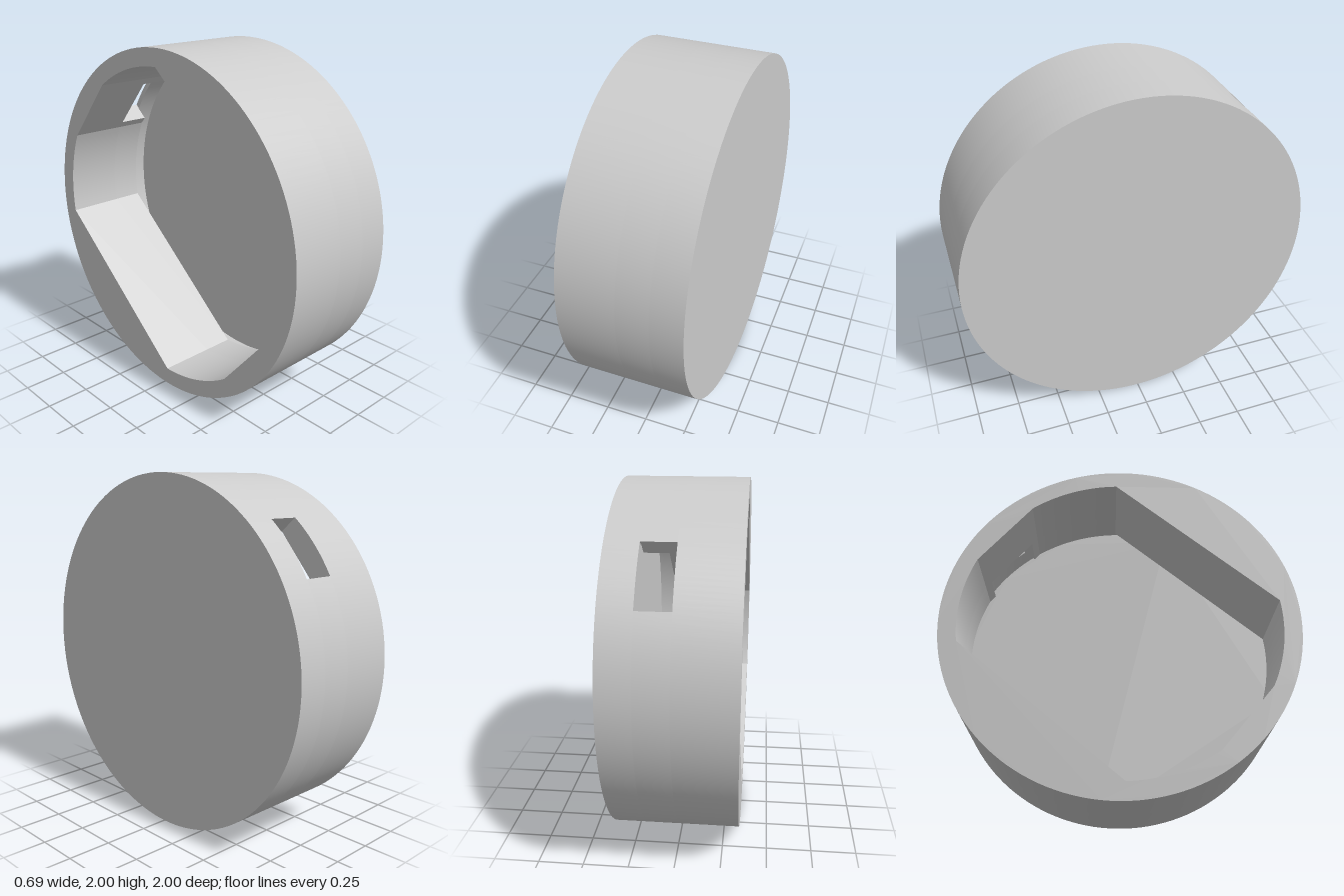
import * as THREE from 'three';
import { toCreasedNormals, mergeGeometries } from 'three/addons/utils/BufferGeometryUtils.js';

// Profile plane (p, q): the side slot opens along +p. The third axis is the cap's own axis.
const R = 1, POCKET_R = 0.9, GROOVE_R = 0.97; // outer wall, pocket arcs, undercut chamber
const FLAT_P = 0.87, FLAT_Q = 0.673;          // distances of the pocket's flats
const SLOT = 0.181;                           // half width of the slot
const X = { open: -0.343, slotStart: -0.017, pocketEnd: 0.162, slotEnd: 0.165, floor: 0.283, back: 0.343 };

const arc = (r, a, b, n) => Array.from({ length: n + 1 }, (_, i) => {
  const t = a + (b - a) * i / n;
  return new THREE.Vector2(r * Math.cos(t), r * Math.sin(t));
});
const slotAngle = r => Math.asin(SLOT / r);
const overSlot = r => arc(r, -slotAngle(r), slotAngle(r), 12);
const aroundSlot = r => arc(r, slotAngle(r), 2 * Math.PI - slotAngle(r), 128);
const fullCircle = r => [...aroundSlot(r), ...overSlot(r).slice(1, -1)];
const reversed = pts => [...pts].reverse();

// Pocket outline: four arcs joined by flats, starting and ending at the slot
function pocketOutline() {
  const b = Math.acos(FLAT_P / POCKET_R), c = Math.asin(FLAT_Q / POCKET_R), h = Math.PI;
  const arcs = [[b, c], [h - c, h - b], [h + b, h + c], [2 * h - c, 2 * h - b]];
  return [
    new THREE.Vector2(FLAT_P, SLOT),
    ...arcs.flatMap(([s, e]) => arc(POCKET_R, s, e, 14)),
    new THREE.Vector2(FLAT_P, -SLOT),
  ];
}

// Wall swept along the axis; a counter-clockwise outline faces outward
function wall(pts, w0, w1) {
  const pos = [], index = [], n = pts.length;
  pts.forEach(p => pos.push(p.x, p.y, w0, p.x, p.y, w1));
  for (let i = 0; i < n; i++) {
    const a = 2 * i, b = 2 * ((i + 1) % n);
    index.push(a, b, b + 1, a, b + 1, a + 1);
  }
  const g = new THREE.BufferGeometry();
  g.setAttribute('position', new THREE.Float32BufferAttribute(pos, 3));
  g.setIndex(index);
  return toCreasedNormals(g, 0.2);
}

// Flat face across the axis, facing +1 or -1
function face(pts, w, dir, hole) {
  const shape = new THREE.Shape(pts);
  if (hole) shape.holes.push(new THREE.Path(hole));
  const g = new THREE.ShapeGeometry(shape).translate(0, 0, w);
  g.deleteAttribute('uv');
  if (dir < 0) g.setIndex(Array.from(g.index.array).reverse());
  return toCreasedNormals(g, 0.2);
}

export function createModel() {
  const grey = new THREE.MeshStandardMaterial({ color: 0xcccccc });
  grey.name = 'light grey';
  const model = new THREE.Group();
  model.name = 'roundCap';
  const body = new THREE.Group();
  body.name = 'capBody';
  const add = (name, ...parts) => {
    const mesh = new THREE.Mesh(mergeGeometries(parts), grey);
    mesh.name = name;
    body.add(mesh);
  };

  const pocket = pocketOutline();
  // Ring outline broken by the slot
  const split = (outer, inner) => [...aroundSlot(outer), ...reversed(inner)];

  add('outerWall',
    wall(fullCircle(R), X.open, X.slotStart),
    wall(fullCircle(R), X.slotEnd, X.back));
  add('slottedBand',
    wall(split(R, pocket), X.slotStart, X.pocketEnd),
    wall(split(R, aroundSlot(GROOVE_R)), X.pocketEnd, X.slotEnd));
  add('slotEnds',
    face([...overSlot(R), pocket[0], pocket[pocket.length - 1]], X.slotStart, 1),
    face([...overSlot(R), ...reversed(overSlot(GROOVE_R))], X.slotEnd, -1));
  add('pocketWall', wall(reversed(pocket), X.open, X.slotStart));
  add('openRim', face(fullCircle(R), X.open, -1, pocket));
  add('chamberLip', face(split(GROOVE_R, pocket), X.pocketEnd, 1));
  add('chamberWall', wall(reversed(fullCircle(GROOVE_R)), X.slotEnd, X.floor));
  add('chamberFloor', face(fullCircle(GROOVE_R), X.floor, -1));
  add('closedFace', face(fullCircle(R), X.back, 1));

  // Turn the slot to the upper back, then lay the axis along x
  body.rotation.z = THREE.MathUtils.degToRad(40);
  const upright = new THREE.Group();
  upright.name = 'uprightCap';
  upright.rotation.y = Math.PI / 2;
  upright.position.y = 1;
  upright.add(body);
  model.add(upright);
  return model;
}
